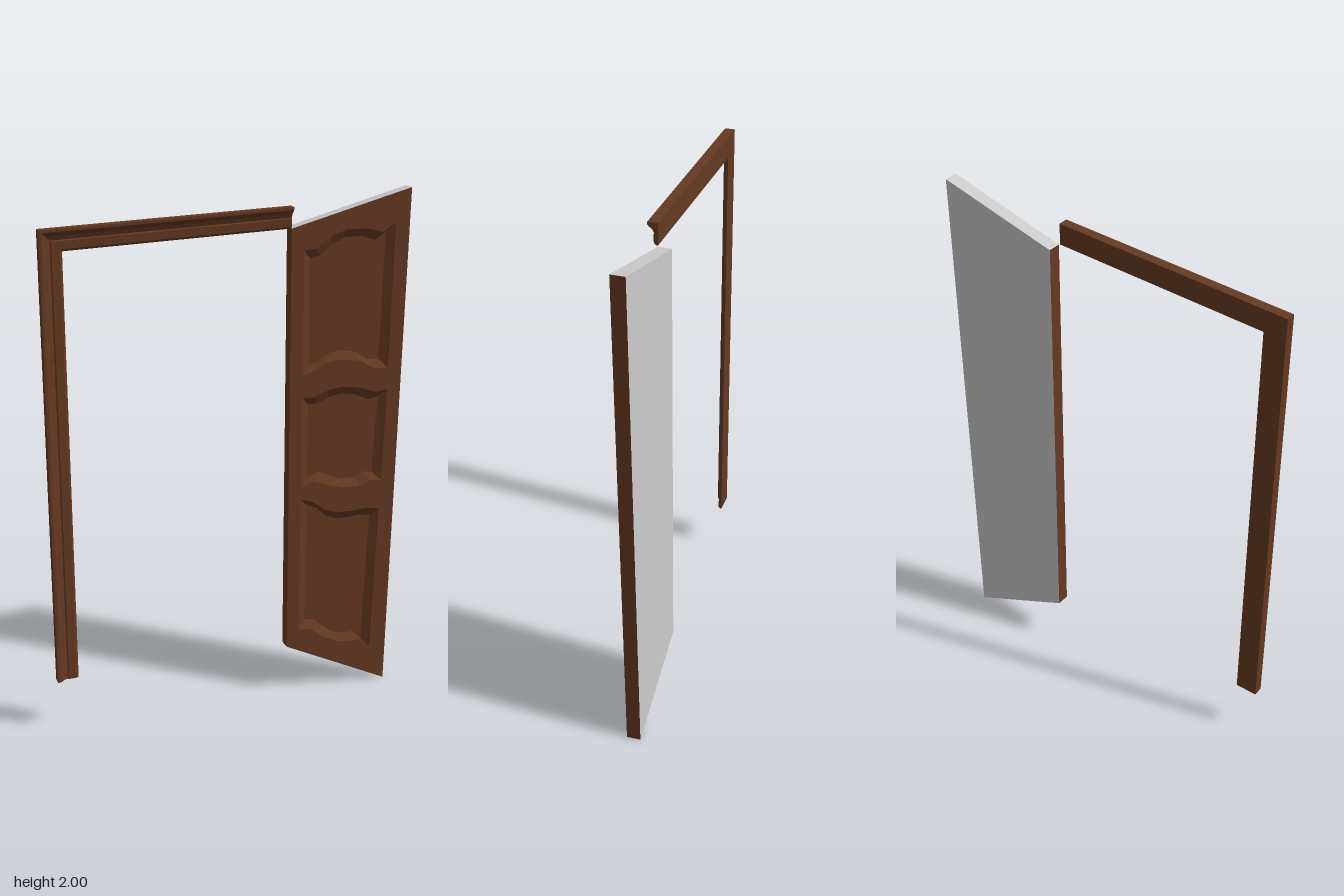
import * as THREE from 'three';

const wood = new THREE.MeshStandardMaterial({ color: 0x653922 });
wood.name = 'brown wood';
const plain = new THREE.MeshStandardMaterial({ color: 0xcccccc });
plain.name = 'unpainted grey';

// Flat-shaded mesh from a list of quads, corners counter-clockwise from outside
function quadMesh(name, quads, material) {
  const pos = [];
  for (const [a, b, c, d] of quads) pos.push(...a, ...b, ...c, ...a, ...c, ...d);
  const geo = new THREE.BufferGeometry();
  geo.setAttribute('position', new THREE.Float32BufferAttribute(pos, 3));
  geo.computeVertexNormals();
  const mesh = new THREE.Mesh(geo, material);
  mesh.name = name;
  return mesh;
}

// Flat sheet facing the front, with optional holes
function sheet(name, outline, z, holes = []) {
  const vec = (pts) => pts.map(([x, y]) => new THREE.Vector2(x, y));
  const shape = new THREE.Shape(vec(outline));
  shape.holes = holes.map((h) => new THREE.Path(vec(h)));
  const mesh = new THREE.Mesh(new THREE.ShapeGeometry(shape), wood);
  mesh.position.z = z;
  mesh.name = name;
  return mesh;
}

const FRONT = 0.008;
const RECESS = FRONT - 0.02;
const INSET = 0.032;

// Upper and lower wavy edges of each recessed panel, left to right
const panels = [
  {
    top: [[0.285, 1.785], [0.335, 1.792], [0.39, 1.832], [0.45, 1.855], [0.53, 1.856], [0.6, 1.838], [0.65, 1.87]],
    bottom: [[0.285, 1.308], [0.33, 1.322], [0.385, 1.352], [0.44, 1.36], [0.52, 1.348], [0.58, 1.315], [0.635, 1.312]],
  },
  {
    top: [[0.285, 1.22], [0.335, 1.22], [0.39, 1.243], [0.45, 1.252], [0.52, 1.243], [0.585, 1.22], [0.636, 1.227]],
    bottom: [[0.285, 0.86], [0.34, 0.88], [0.4, 0.86], [0.46, 0.843], [0.53, 0.843], [0.575, 0.862], [0.62, 0.858]],
  },
  {
    top: [[0.285, 0.812], [0.335, 0.797], [0.385, 0.76], [0.44, 0.742], [0.51, 0.742], [0.56, 0.748], [0.615, 0.74]],
    bottom: [[0.285, 0.262], [0.335, 0.258], [0.39, 0.218], [0.45, 0.188], [0.51, 0.182], [0.55, 0.183], [0.592, 0.145]],
  },
];

function buildDoor() {
  const door = new THREE.Group();
  door.name = 'door';
  const outline = [[0.235, 0.195], [0.655, 0], [0.71, 2], [0.235, 1.87]];
  const backZ = [-0.043, -0.046, -0.046, -0.043];
  const f = outline.map(([x, y]) => [x, y, FRONT]);
  const b = outline.map(([x, y], i) => [x, y, backZ[i]]);

  // Edges and back
  ['bottomEdge', 'outerEdge', 'topEdge', 'hingeEdge'].forEach((name, i) => {
    const j = (i + 1) % 4;
    door.add(quadMesh(name, [[f[i], b[i], b[j], f[j]]], i % 2 ? wood : plain));
  });
  door.add(quadMesh('doorBack', [[b[3], b[2], b[1], b[0]]], plain));

  // Recessed panels with sloping surrounds
  const holes = panels.map(({ top, bottom }) => {
    const shrink = (pts, dy) => {
      const x0 = pts[0][0], x1 = pts[pts.length - 1][0];
      return pts.map(([x, y]) => [x0 + INSET + ((x - x0) / (x1 - x0)) * (x1 - x0 - 2 * INSET), y + dy]);
    };
    const outer = [...bottom, ...[...top].reverse()];
    const inner = [...shrink(bottom, INSET), ...shrink(top, -INSET).reverse()];
    const quads = outer.map((p, i) => {
      const j = (i + 1) % outer.length;
      return [[...p, FRONT], [...outer[j], FRONT], [...inner[j], RECESS], [...inner[i], RECESS]];
    });
    door.add(quadMesh('panelBevel', quads, wood));
    door.add(sheet('panel', inner, RECESS));
    return outer;
  });
  door.add(sheet('doorFront', outline, FRONT, holes));
  return door;
}

function buildFrame() {
  // Moulding profile: fraction from outer to inner edge, and z
  const profile = [[0, 0.046], [0.12, 0.046], [0.2, 0.04], [0.32, 0.028], [0.5, 0.021], [0.55, 0.025], [0.9, 0.023], [1, 0.016]];
  // Outer and inner corners at the foot, the mitre and the free end
  const stations = [
    [[-0.7, 0.195], [-0.614, 0.195]],
    [[-0.712, 1.92], [-0.624, 1.838]],
    [[0.23, 1.955], [0.23, 1.872]],
  ];
  const at = (s, t, z) => {
    const [o, i] = stations[s];
    return [o[0] + (i[0] - o[0]) * t, o[1] + (i[1] - o[1]) * t, z];
  };
  const ring = [[0, FRONT], ...profile, [1, FRONT]];
  const frame = new THREE.Group();
  frame.name = 'doorFrame';
  ['framePost', 'frameHead'].forEach((name, s) => {
    const quads = ring.map((p, k) => {
      const q = ring[(k + 1) % ring.length];
      return [at(s, ...p), at(s, ...q), at(s + 1, ...q), at(s + 1, ...p)];
    });
    // Close the foot of the post and the free end of the head
    const end = s === 0 ? 0 : 2;
    for (let k = 0; k < profile.length - 1; k++) {
      const [p, q] = [profile[k], profile[k + 1]];
      const cap = [at(end, ...p), at(end, ...q), at(end, q[0], FRONT), at(end, p[0], FRONT)];
      quads.push(s === 0 ? cap.reverse() : cap);
    }
    frame.add(quadMesh(name, quads, wood));
  });
  return frame;
}

export function createModel() {
  const model = new THREE.Group();
  model.name = 'openDoorWithFrame';
  model.add(buildDoor(), buildFrame());
  return model;
}
